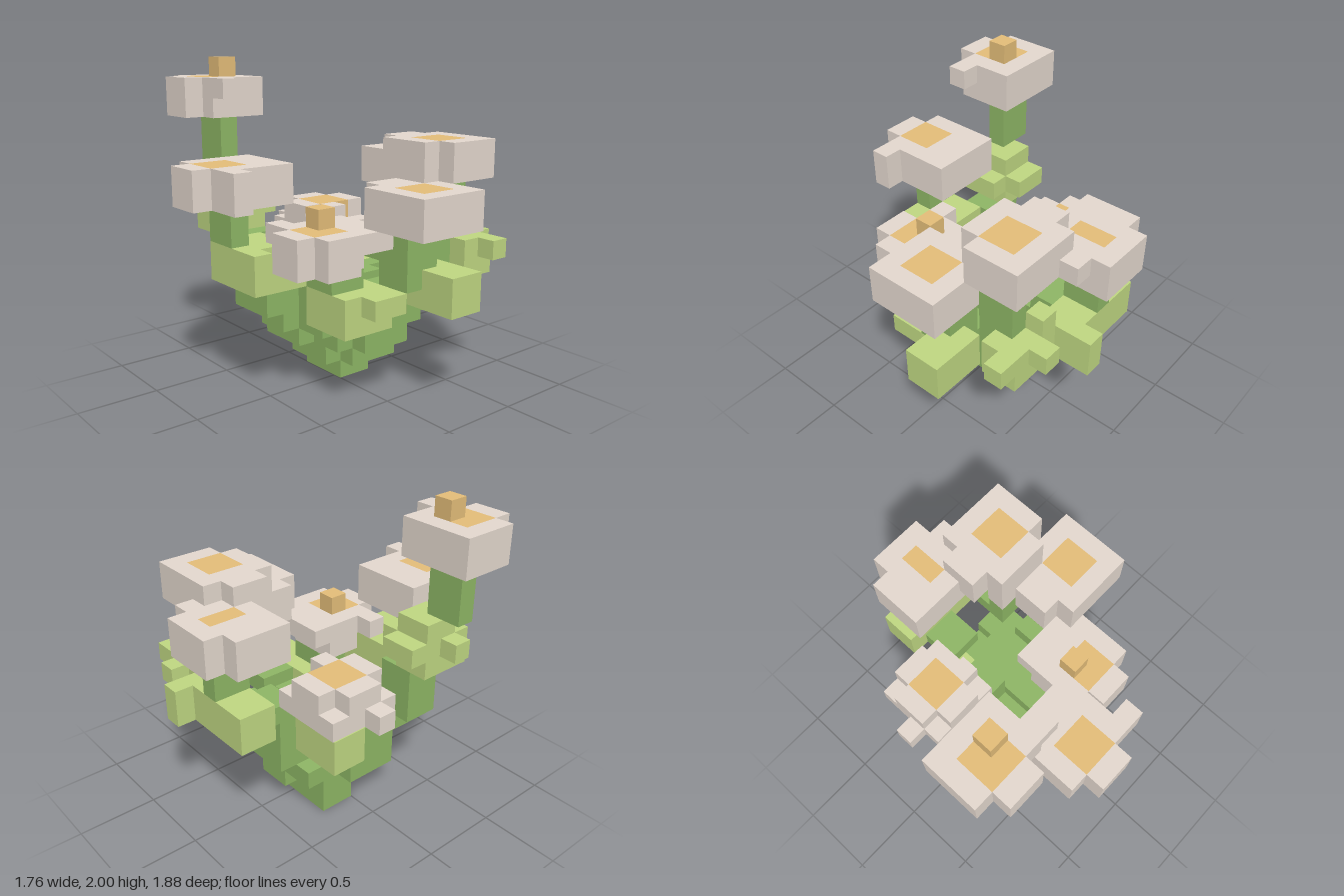
import * as THREE from 'three';
import { mergeGeometries } from 'three/addons/utils/BufferGeometryUtils.js';

const U = 2 / 17; // edge of one block
const SIZE = new THREE.Vector3(15, 17, 16); // blocks along x, y, z

const mat = (name, color) => {
  const m = new THREE.MeshStandardMaterial({ color });
  m.name = name;
  return m;
};

// One unit face for each side of a block
const SIDES = [[1, 0, 0], [-1, 0, 0], [0, 1, 0], [0, -1, 0], [0, 0, 1], [0, 0, -1]].map((n) => {
  const dir = new THREE.Vector3(...n);
  const turn = new THREE.Quaternion().setFromUnitVectors(new THREE.Vector3(0, 0, 1), dir);
  return { dir, face: new THREE.PlaneGeometry().translate(0, 0, 0.5).applyQuaternion(turn) };
});

export function createModel() {
  const stem = mat('stem green', 0x8fb866);
  const leaf = mat('leaf green', 0xc1d983);
  const petal = mat('petal grey', 0xe6dad0);
  const centre = mat('centre ochre', 0xe6bf7a);

  const materials = new Map(); // part name -> material
  const cells = new Map(); // block position -> part name
  const key = (x, y, z) => [x, y, z].join();

  // A box of blocks from its lowest corner; later boxes replace earlier ones
  const box = (name, x, y, z, w = 1, d = 1, h = 1) => {
    for (let i = 0; i < w; i++)
      for (let j = 0; j < h; j++)
        for (let k = 0; k < d; k++) cells.set(key(x + i, y + j, z + k), name);
  };
  const part = (name, material, ...boxes) => {
    materials.set(name, material);
    boxes.forEach((b) => box(name, ...b));
  };

  // A stepped stem: two-by-two columns, each reaching up to the next point
  const branch = (name, top, ...points) => {
    part(name, stem);
    points.forEach(([x, y, z], i) => box(name, x, y, z, 2, 2, (points[i + 1]?.[1] ?? top) - y));
  };

  // A four-by-four flower with an ochre heart, missing corners and extra petals
  const flower = (name, x, y, z, cut, ...petals) => {
    part(name, petal, [x, y, z, 4, 4, 2]);
    for (const corner of cut)
      for (const level of [y, y + 1])
        cells.delete(key(x + (corner.includes('R') ? 3 : 0), level, z + (corner.includes('F') ? 3 : 0)));
    part(name + 'Centre', centre, [x + 1, y + 1, z + 1, 2, 2]);
    petals.forEach((b) => box(name, ...b));
  };

  // Trunk, widening layer by layer
  part('trunk', stem, [5, 0, 6, 3, 2], [5, 1, 6, 3, 3], [7, 1, 5, 2, 3]);
  part('trunk', stem, [4, 2, 7, 3, 3], [5, 2, 5, 4, 4], [9, 2, 5, 1, 3]);
  part('trunk', stem, [4, 3, 6, 5, 4], [9, 3, 4, 1, 4], [5, 3, 10, 2], [6, 3, 4, 3, 2]);
  part('trunk', stem, [4, 4, 5, 5, 5], [5, 5, 6, 4, 2]);

  // Stems
  branch('tallStem', 8, [4, 4, 10], [3, 5, 10]);
  box('tallStem', 1, 11, 11, 2, 1, 3);
  branch('frontStem', 6, [5, 4, 10]);
  box('frontStem', 5, 8, 13, 2, 1, 2);
  branch('innerFrontStem', 7, [7, 4, 8], [9, 6, 9]);
  branch('rightStem', 9, [8, 4, 6], [10, 5, 6], [11, 6, 6]);
  branch('backRightStem', 6, [9, 4, 4], [10, 5, 3]);
  part('backRightStem', stem, [10, 6, 4, 2, 1, 5], [11, 6, 3, 1, 1, 5]);
  branch('backStem', 7, [6, 4, 4], [6, 6, 3]);
  box('backStem', 7, 8, 1, 1, 2, 2);
  part('sideStem', stem, [4, 6, 5, 2, 2], [6, 6, 6, 1, 2]);

  // Leaves
  part('tallLeaf', leaf, [2, 8, 10, 2, 3, 2], [2, 10, 10, 2, 2], [2, 9, 9, 2], [1, 9, 11], [4, 9, 10, 1, 2]);
  part('frontLeaf', leaf, [5, 6, 11, 4, 3, 2]);
  part('innerFrontLeaf', leaf, [9, 4, 8, 3, 3, 2], [12, 5, 8, 1, 2]);
  part('rightLeaf', leaf, [12, 5, 5, 3, 2, 2]);
  part('backLeaf', leaf, [5, 6, 1, 5, 2, 2]);
  part('backRightLeaf', leaf, [10, 6, 2, 2, 1, 2], [12, 6, 2, 1, 2, 2], [11, 7, 1],
    [9, 6, 0, 1, 1, 2], [13, 7, 2], [10, 8, 2]);
  part('sideLeaf', leaf, [3, 4, 5, 4, 2, 2]);

  // Flowers
  flower('tallFlower', 0, 14, 10, ['FL', 'FR'], [4, 15, 12]);
  flower('frontFlower', 4, 10, 12, ['FL', 'FR'], [8, 10, 14, 1, 1, 2], [4, 10, 11, 4, 1, 2]);
  flower('innerFrontFlower', 8, 7, 9, ['FL', 'FR', 'BR'], [8, 8, 8, 4, 2], [7, 8, 11]);
  flower('rightFlower', 11, 9, 5, [], [10, 9, 6, 1, 2, 2], [9, 10, 5, 2]);
  flower('backRightFlower', 9, 11, 2, ['FR'], [8, 11, 3, 1, 2, 2]);
  flower('backFlower', 5, 10, 0, ['BL'], [9, 11, 1], [6, 10, 1, 1, 2, 2]);
  flower('sideFlower', 2, 7, 4, ['FL', 'FR', 'BL', 'BR'], [1, 7, 6]);

  // The side flower keeps its lower corners and has a notch beside its heart
  for (const x of [2, 5]) for (const z of [4, 7]) box('sideFlower', x, 7, z);
  cells.delete(key(5, 8, 5));

  // Stamens
  box('tallFlowerCentre', 2, 16, 11);
  box('innerFrontFlowerCentre', 9, 9, 10);

  // Collect the exposed block faces of every part
  const faces = new Map();
  for (const [place, name] of cells) {
    const p = new THREE.Vector3(...place.split(',').map(Number));
    for (const { dir, face } of SIDES) {
      if (cells.has(key(...p.clone().add(dir)))) continue;
      if (!faces.has(name)) faces.set(name, []);
      faces.get(name).push(face.clone().translate(p.x + 0.5, p.y + 0.5, p.z + 0.5));
    }
  }

  const group = new THREE.Group();
  group.name = 'blockFlowerPlant';
  for (const [name, list] of faces) {
    const geometry = mergeGeometries(list).translate(-SIZE.x / 2, 0, -SIZE.z / 2).scale(U, U, U);
    const mesh = new THREE.Mesh(geometry, materials.get(name));
    mesh.name = name;
    group.add(mesh);
  }
  return group;
}
